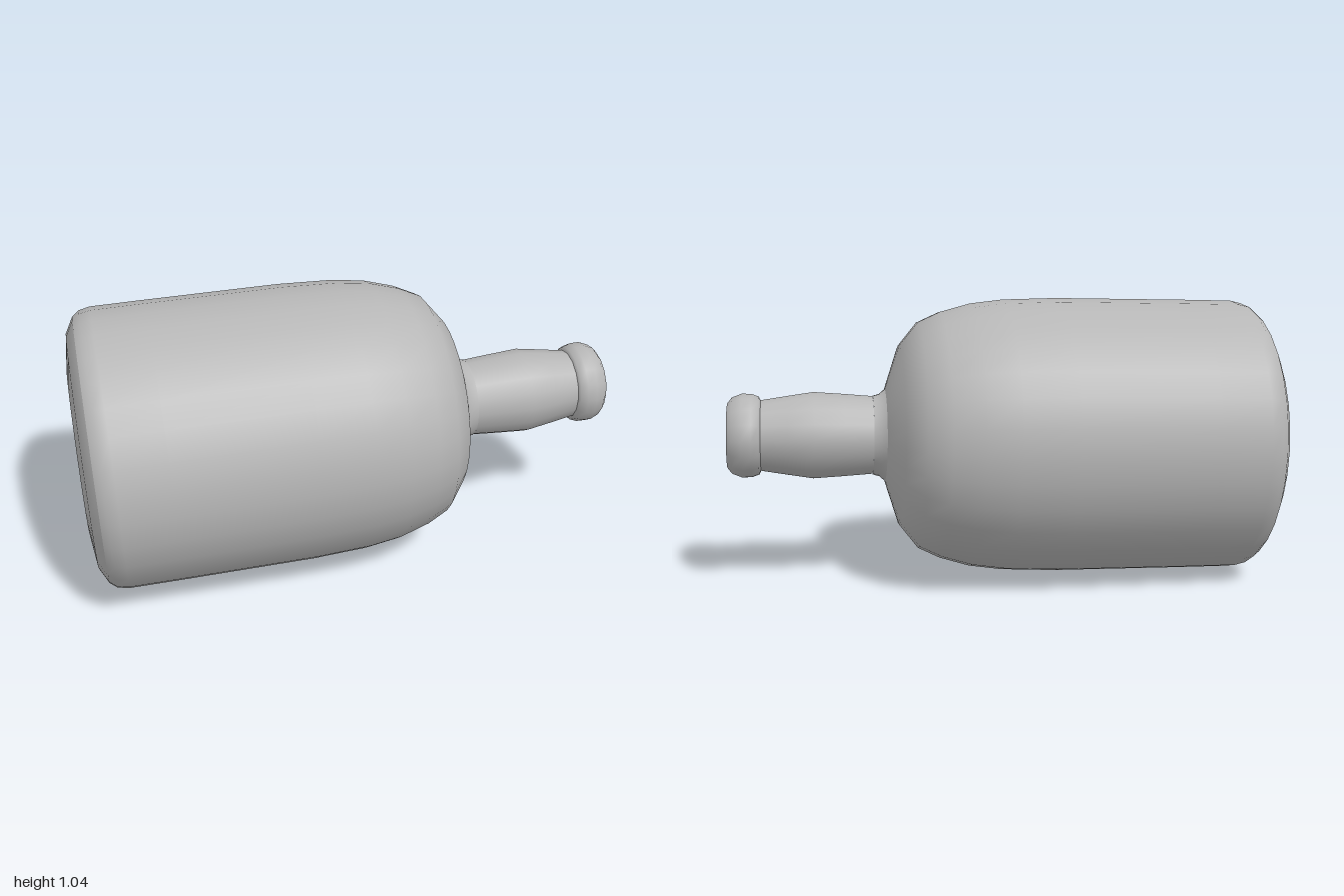
import * as THREE from 'three';

export function createModel() {
  const model = new THREE.Group();
  const bottle = new THREE.Group();
  bottle.name = 'bottle';
  model.add(bottle);

  const grey = new THREE.MeshStandardMaterial({ color: 0xb6b6b6 });
  grey.name = 'plain grey';

  // Each part is turned from [distance along axis, radius] pairs, with the axis laid along +x.
  const turned = (name, sides, profile) => {
    const points = profile.map(([s, r]) => new THREE.Vector2(r, s));
    const geometry = new THREE.LatheGeometry(points, sides);
    geometry.rotateZ(-Math.PI / 2);
    const mesh = new THREE.Mesh(geometry, grey);
    mesh.name = name;
    bottle.add(mesh);
  };

  // Slightly domed bottom
  turned('base', 32, [[-0.99, 0], [-0.99, 0.3], [-0.975, 0.425], [-0.945, 0.482]]);

  // Wide barrel curving into the shoulder
  turned('body', 32, [
    [-0.945, 0.482], [-0.92, 0.502], [-0.88, 0.511], [-0.7, 0.512], [-0.2, 0.512], [0, 0.504],
    [0.12, 0.488], [0.23, 0.456], [0.31, 0.418], [0.378, 0.332], [0.43, 0.17],
  ]);

  // Small collar where the shoulder meets the neck
  turned('collar', 32, [[0.43, 0.17], [0.45, 0.152], [0.475, 0.145]]);

  // Neck with a soft bulge
  turned('neck', 16, [[0.475, 0.145], [0.58, 0.153], [0.69, 0.16], [0.78, 0.146], [0.878, 0.13]]);

  // Rounded lip around the mouth
  turned('lip', 16, [
    [0.878, 0.128], [0.884, 0.143], [0.91, 0.153], [0.945, 0.154], [0.98, 0.14], [0.997, 0.118],
  ]);
  turned('mouthRim', 16, [[0.997, 0.118], [0.998, 0.088]]);

  // Hollow inside of the neck, closed by a floor
  turned('mouthBore', 12, [[0.998, 0.088], [0.9, 0.082], [0.5, 0.08]]);
  turned('mouthFloor', 12, [[0.5, 0.08], [0.5, 0]]);

  // Lying on its side, the neck end tipped slightly upward
  bottle.rotation.z = 0.021;
  bottle.position.y = 0.533;
  return model;
}
